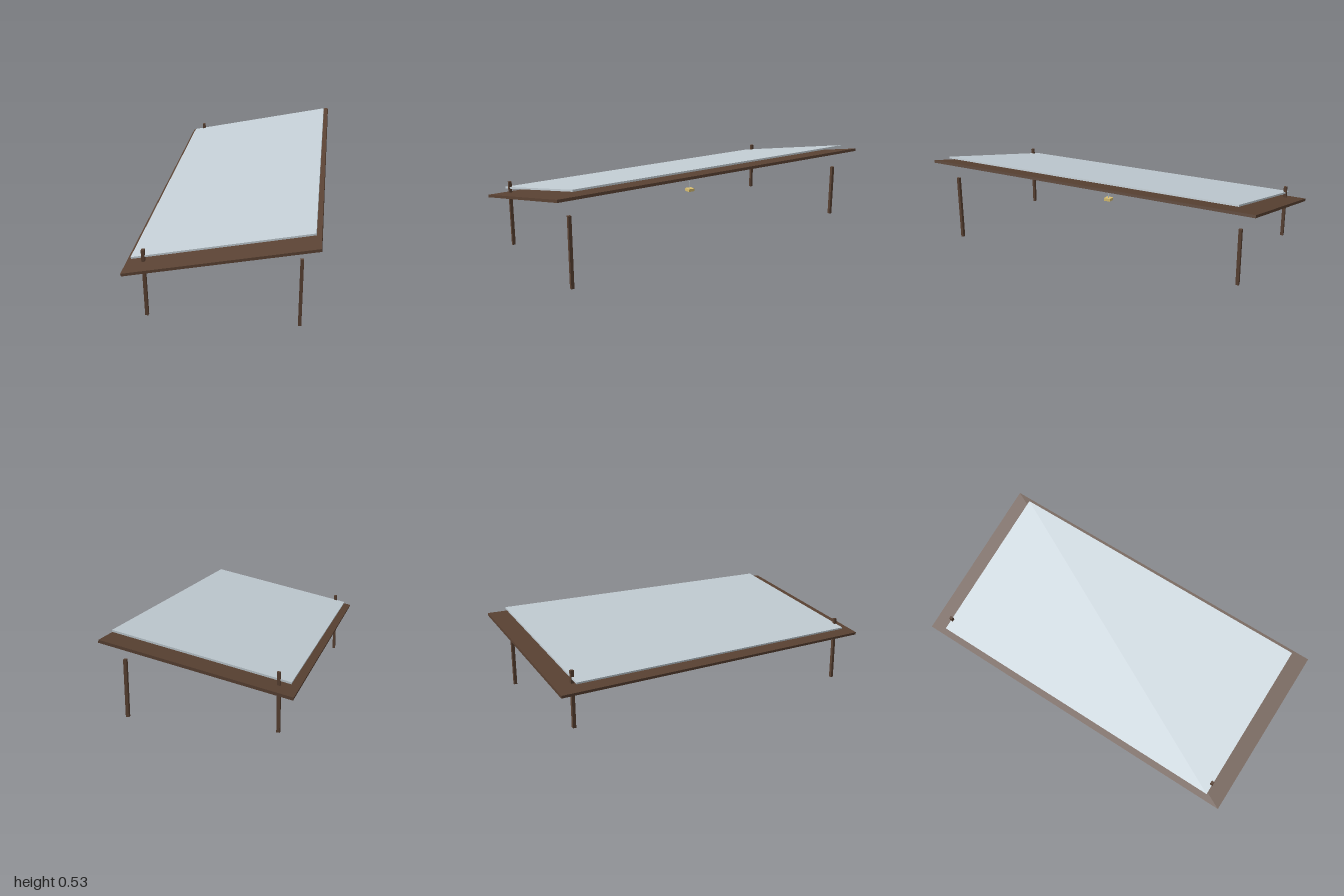
import * as THREE from 'three';

export function createModel() {
  const model = new THREE.Group();
  model.name = 'shelter';

  const mat = (name, color) => {
    const m = new THREE.MeshStandardMaterial({ color });
    m.name = name;
    return m;
  };
  const wood = mat('dark wood', 0x5a4233);
  const sheet = mat('pale grey sheet', 0xc3ced5);
  const brass = mat('warm brass', 0xd9bf72);

  const box = (name, size, pos, material, tilt = 0) => {
    const mesh = new THREE.Mesh(new THREE.BoxGeometry(...size), material);
    mesh.name = name;
    mesh.position.set(...pos);
    mesh.rotation.z = tilt;
    model.add(mesh);
    return mesh;
  };

  // Sloping roof: wooden deck with a thin sheet floating above it
  const pitch = THREE.MathUtils.degToRad(12);
  box('roofDeck', [0.982, 0.015, 2], [0, 0.393, 0], wood, pitch);
  box('roofSheet', [0.924, 0.01, 1.81], [0, 0.429, 0], sheet, pitch);

  // Square posts; the back pair ends higher above the ground
  const top = 0.383;
  for (const side of [-1, 1]) {
    for (const [name, z, foot] of [['frontPost', 0.9, 0], ['backPost', -0.9, 0.08]]) {
      box(name, [0.017, top - foot, 0.017], [side * 0.39, (top + foot) / 2, z], wood);
    }
  }

  // Small hanging lamp
  box('lampShade', [0.04, 0.016, 0.04], [0.129, 0.315, 0], brass);
  const rod = new THREE.Mesh(new THREE.CylinderGeometry(0.0025, 0.0025, 0.043, 10), sheet);
  rod.name = 'lampRod';
  rod.position.set(0.129, 0.344, 0);
  model.add(rod);

  return model;
}
